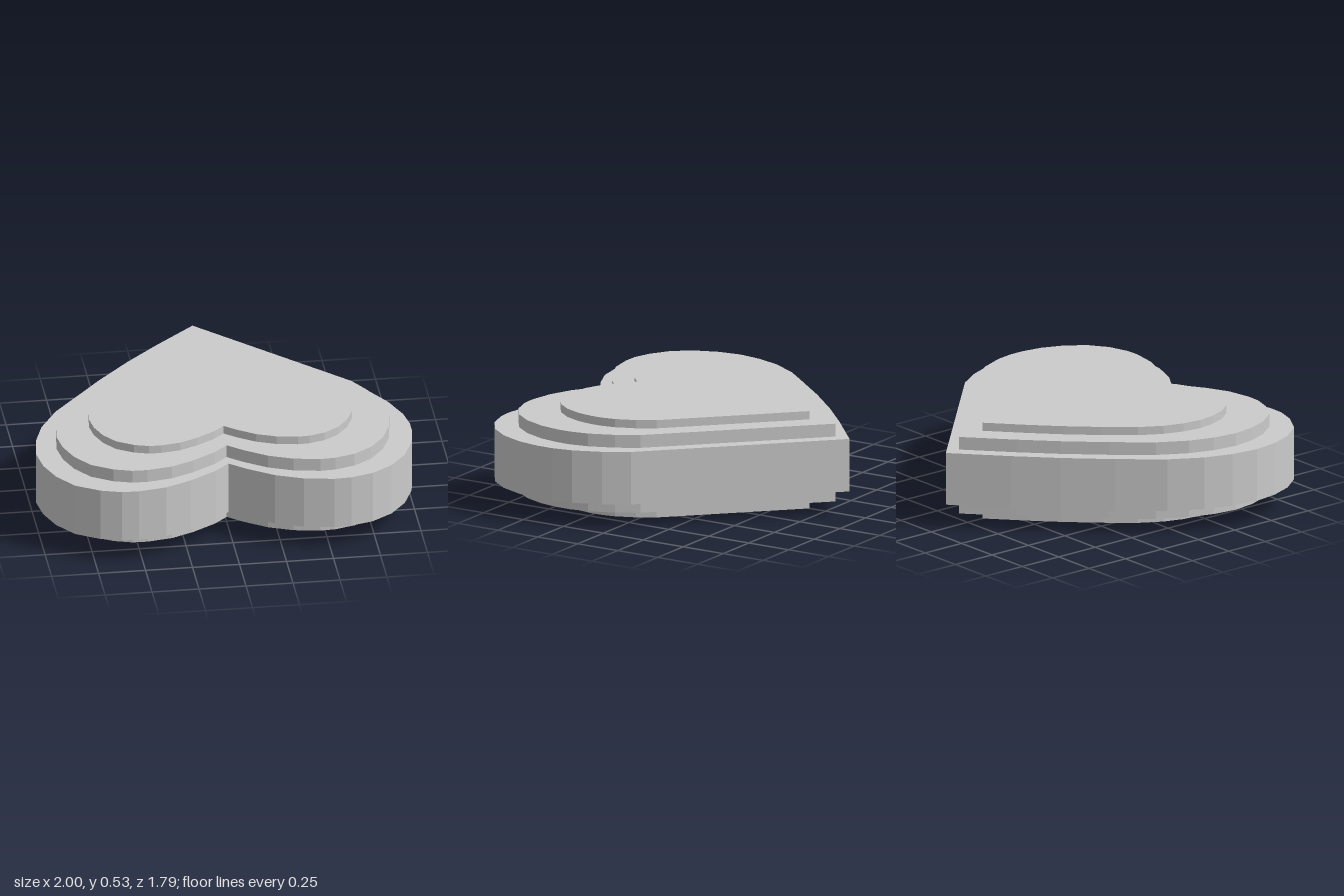
import * as THREE from 'three';

// Heart outline as [x, z]: back tip, curved right lobe, front notch, left lobe, straight left flank
const outline = [
  [0, -0.9], [-0.26, -0.67], [-0.45, -0.49], [-0.65, -0.28], [-0.83, -0.07], [-0.93, 0.1], [-0.98, 0.25],
  [-1, 0.4], [-0.98, 0.54], [-0.93, 0.67], [-0.845, 0.785], [-0.72, 0.86], [-0.61, 0.893],
  [-0.52, 0.895], [-0.37, 0.87], [-0.235, 0.81], [-0.09, 0.72], [-0.01, 0.645],
  [0.08, 0.72], [0.215, 0.81], [0.36, 0.868], [0.52, 0.895], [0.61, 0.89], [0.73, 0.855],
  [0.84, 0.78], [0.925, 0.67], [0.98, 0.535], [1, 0.41], [1, 0.32], [0.98, 0.21], [0.92, 0.06], [0.84, -0.07],
];

export function createModel() {
  const group = new THREE.Group();
  group.name = 'steppedHeart';
  const material = new THREE.MeshStandardMaterial({ color: 0xcccccc, flatShading: true });

  // One heart-shaped slab between two heights
  function heartSlab(name, scaleX, scaleZ, shiftZ, bottom, top) {
    const shape = new THREE.Shape(outline.map(([x, z]) => new THREE.Vector2(x * scaleX, z * scaleZ + shiftZ)));
    const geometry = new THREE.ExtrudeGeometry(shape, { depth: top - bottom, bevelEnabled: false });
    geometry.rotateX(Math.PI / 2).translate(0, top, 0);
    const mesh = new THREE.Mesh(geometry, material);
    mesh.name = name;
    group.add(mesh);
  }

  // Nested slabs: the smaller the heart, the further it rises above and below
  heartSlab('outerHeart', 1, 1, 0, 0.13, 0.417);
  heartSlab('middleHeart', 0.885, 0.894, -0.006, 0.062, 0.487);
  heartSlab('innerHeart', 0.7, 0.702, -0.018, 0, 0.532);

  return group;
}
